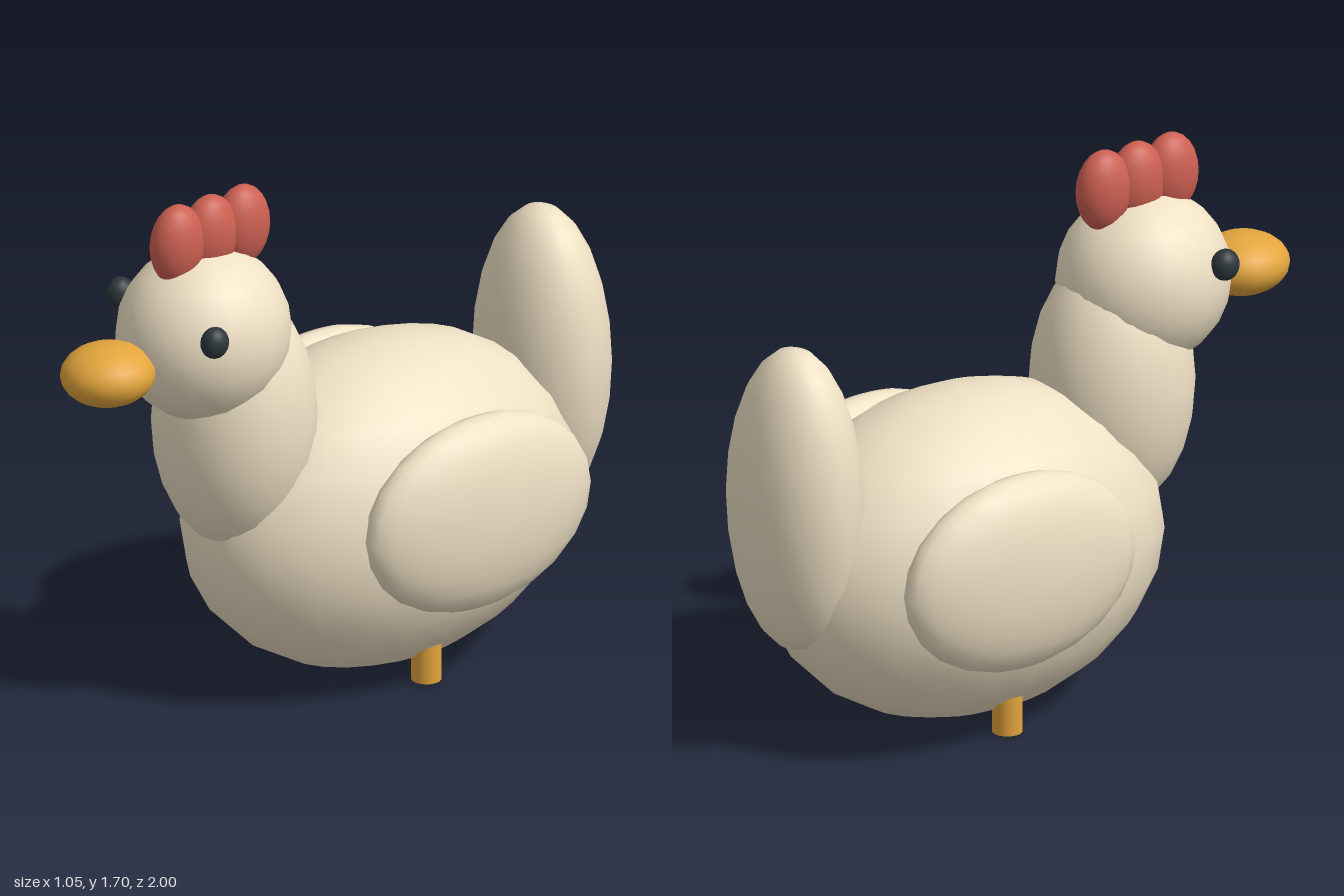
import * as THREE from 'three';

export function createModel() {
  const group = new THREE.Group();
  const paint = (color) => new THREE.MeshStandardMaterial({ color });
  const cream = paint(0xeee0c4);
  const orange = paint(0xe3a53c);
  const red = paint(0xcd6052);
  const dark = paint(0x2c363c);

  // Smooth ellipsoid with its poles on the y axis
  function egg(name, material, center, radii) {
    const mesh = new THREE.Mesh(new THREE.SphereGeometry(1, 24, 12), material);
    mesh.name = name;
    mesh.position.set(...center);
    mesh.scale.set(...radii);
    group.add(mesh);
    return mesh;
  }

  // Body, neck, head and upright tail
  egg('body', cream, [0, 0.525, -0.185], [0.45, 0.52, 0.68]);
  egg('neck', cream, [0, 0.94, 0.367], [0.25, 0.42, 0.257]);
  egg('head', cream, [0, 1.255, 0.485], [0.258, 0.275, 0.275]);
  egg('tail', cream, [0, 0.83, -0.81], [0.245, 0.49, 0.19]);

  // Beak
  egg('beak', orange, [0, 1.213, 0.85], [0.14, 0.095, 0.15]);

  // Comb of three lobes
  [0.585, 0.46, 0.336].forEach((z, i) => {
    egg('combLobe' + (i + 1), red, [0, 1.57, z], [0.068, 0.13, 0.093]);
  });

  // Paired parts
  for (const [side, s] of [['left', 1], ['right', -1]]) {
    egg(side + 'Eye', dark, [s * 0.235, 1.337, 0.622], [0.04, 0.05, 0.046]);
    egg(side + 'Wing', cream, [s * 0.4, 0.595, -0.257], [0.125, 0.315, 0.422]);

    const leg = new THREE.Mesh(new THREE.CylinderGeometry(0.047, 0.047, 0.26, 16), orange);
    leg.name = side + 'Leg';
    leg.position.set(s * 0.235, 0.13, -0.187);
    group.add(leg);
  }

  return group;
}
